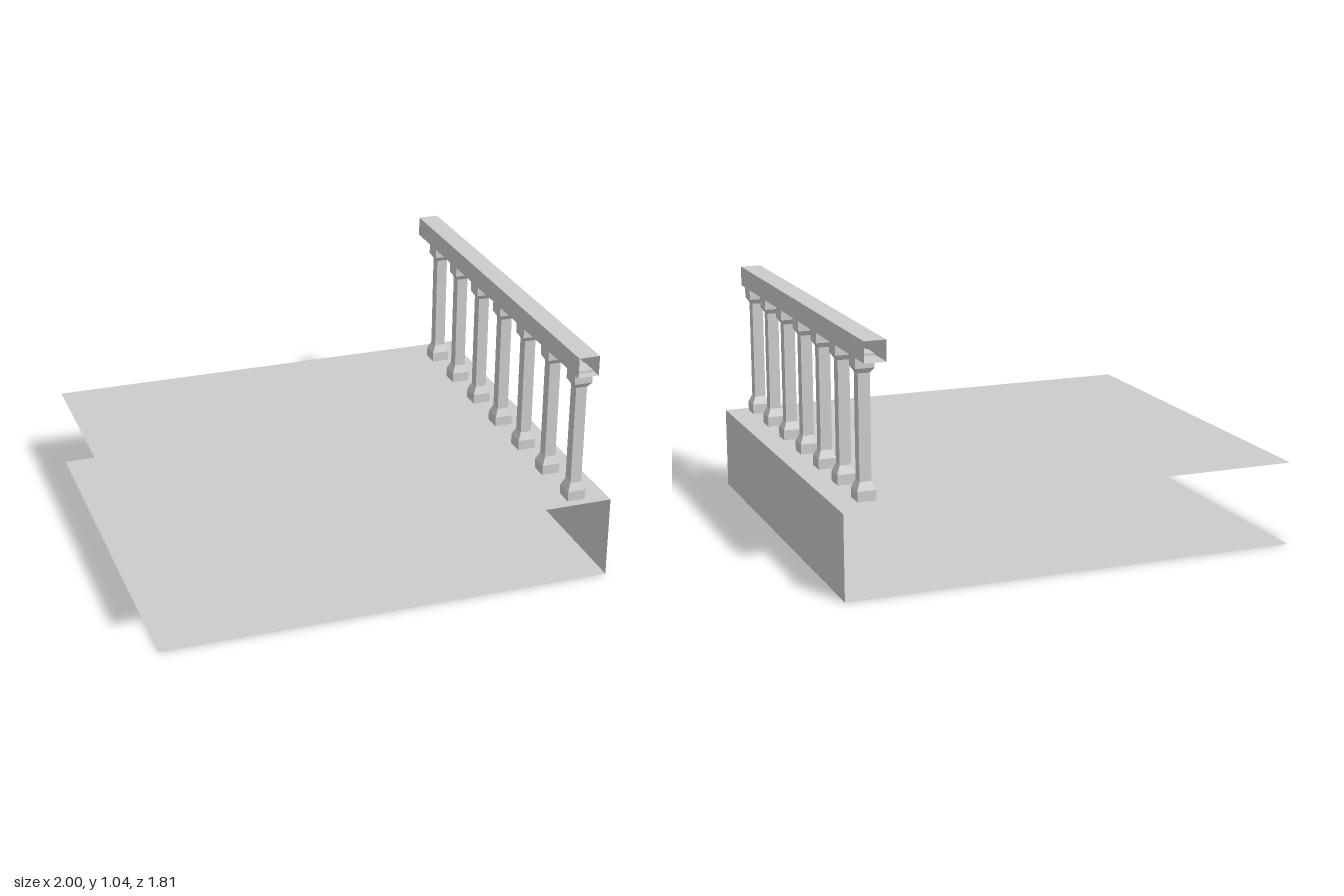
import * as THREE from 'three';

const HALF_Z = 0.906;
const RAIL_X = 0.859;

export function createModel() {
  const group = new THREE.Group();
  const material = new THREE.MeshStandardMaterial({
    color: 0xcccccc, flatShading: true, side: THREE.DoubleSide,
  });

  function addMesh(name, geometry, parent = group) {
    const mesh = new THREE.Mesh(geometry, material);
    mesh.name = name;
    parent.add(mesh);
    return mesh;
  }

  // Thin horizontal or vertical sheet running the full depth
  function sheet(name, width, x, y, faceX = 0, parent = group) {
    const geometry = faceX
      ? new THREE.PlaneGeometry(2 * HALF_Z, width).rotateY(faceX * Math.PI / 2)
      : new THREE.PlaneGeometry(width, 2 * HALF_Z).rotateX(-Math.PI / 2);
    addMesh(name, geometry, parent).position.set(x, y, 0);
  }

  // Balcony slab: floor, underside and one outer wall, other sides open
  const slabTop = 0.364;
  sheet('floor', 2, 0, slabTop);
  sheet('underside', 2, 0, 0);
  sheet('outerWall', slabTop, 1, slabTop / 2, 1);

  // Handrail: square tube with open ends
  const rail = new THREE.Group();
  rail.name = 'handrail';
  group.add(rail);
  const railW = 0.092, bottom = 0.957, top = 1.045;
  sheet('railTop', railW, RAIL_X, top, 0, rail);
  sheet('railBottom', railW, RAIL_X, bottom, 0, rail);
  for (const side of [-1, 1]) {
    sheet('railSide', top - bottom, RAIL_X + side * railW / 2, (top + bottom) / 2, side, rail);
  }

  // Square balusters with wider, tapered base and cap
  const profile = [
    [0, 0.356], [0.04, 0.356], [0.04, 0.408], [0.025, 0.443],
    [0.025, 0.886], [0.04, 0.908], [0.04, 0.966], [0, 0.966],
  ].map(([half, y]) => new THREE.Vector2(half * Math.SQRT2, y));
  const balusterGeometry = new THREE.LatheGeometry(profile, 4, Math.PI / 4);
  for (let i = 0; i < 7; i++) {
    addMesh('baluster', balusterGeometry).position.set(RAIL_X, 0, 0.824 - i * 0.26);
  }

  return group;
}
